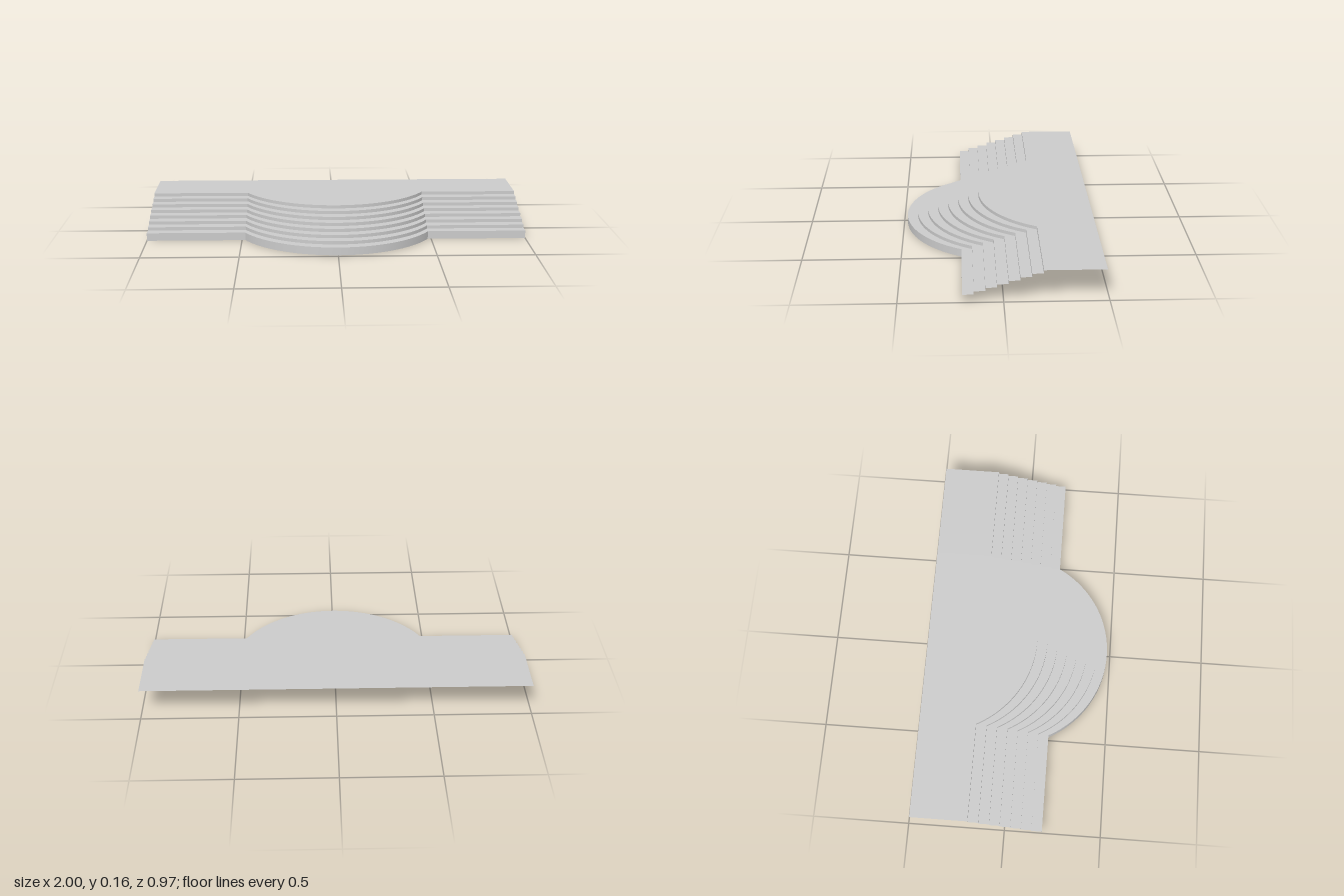
import * as THREE from 'three';
import { toCreasedNormals } from 'three/addons/utils/BufferGeometryUtils.js';

const STEPS = 8, ARC_SEGMENTS = 48;
const BAY_HALF = 0.482, BULGE = 0.287;        // half width and depth of the curved bay
const FRONT_Z = 0.195, BACK_Z = -0.485, TREAD = 0.0546;
const FIRST_RISE = 0.041, RISE = 0.0172;

// Plan outline of one step edge: straight wing, bowed bay, straight wing
function planLine() {
  const radius = (BAY_HALF ** 2 + BULGE ** 2) / (2 * BULGE);
  const half = Math.asin(BAY_HALF / radius);
  const points = [[-1, 0]];
  for (let i = 0; i <= ARC_SEGMENTS; i++) {
    const a = -half + (2 * half * i) / ARC_SEGMENTS;
    points.push([radius * Math.sin(a), radius * Math.cos(a) - radius + BULGE]);
  }
  points.push([1, 0]);
  return points;
}

// Surface between two rows of points that run from -x to +x
function strip(rowA, rowB) {
  const n = rowA.length, index = [];
  for (let i = 0; i < n - 1; i++) {
    index.push(i, i + 1, n + i + 1, i, n + i + 1, n + i);
  }
  const geometry = new THREE.BufferGeometry();
  geometry.setAttribute('position', new THREE.Float32BufferAttribute([...rowA, ...rowB].flat(), 3));
  geometry.setIndex(index);
  return toCreasedNormals(geometry, 0.4);
}

export function createModel() {
  const group = new THREE.Group();
  group.name = 'bowedStairs';
  const material = new THREE.MeshStandardMaterial({ color: 0xcccccc, side: THREE.DoubleSide });
  const plan = planLine();
  const edge = (step, y) => plan.map(([x, z]) => [x, y, FRONT_Z - step * TREAD + z]);
  const add = (name, rowA, rowB) => {
    const mesh = new THREE.Mesh(strip(rowA, rowB), material);
    mesh.name = name;
    group.add(mesh);
  };

  for (let s = 0; s < STEPS; s++) {
    const top = FIRST_RISE + s * RISE;
    const bottom = s === 0 ? 0 : top - RISE;
    add(`riser${s + 1}`, edge(s, bottom), edge(s, top));
    // The last tread widens into the landing
    if (s < STEPS - 1) add(`tread${s + 1}`, edge(s, top), edge(s + 1, top));
    else add('landing', edge(s, top), plan.map(([x]) => [x, top, BACK_Z]));
  }
  return group;
}
